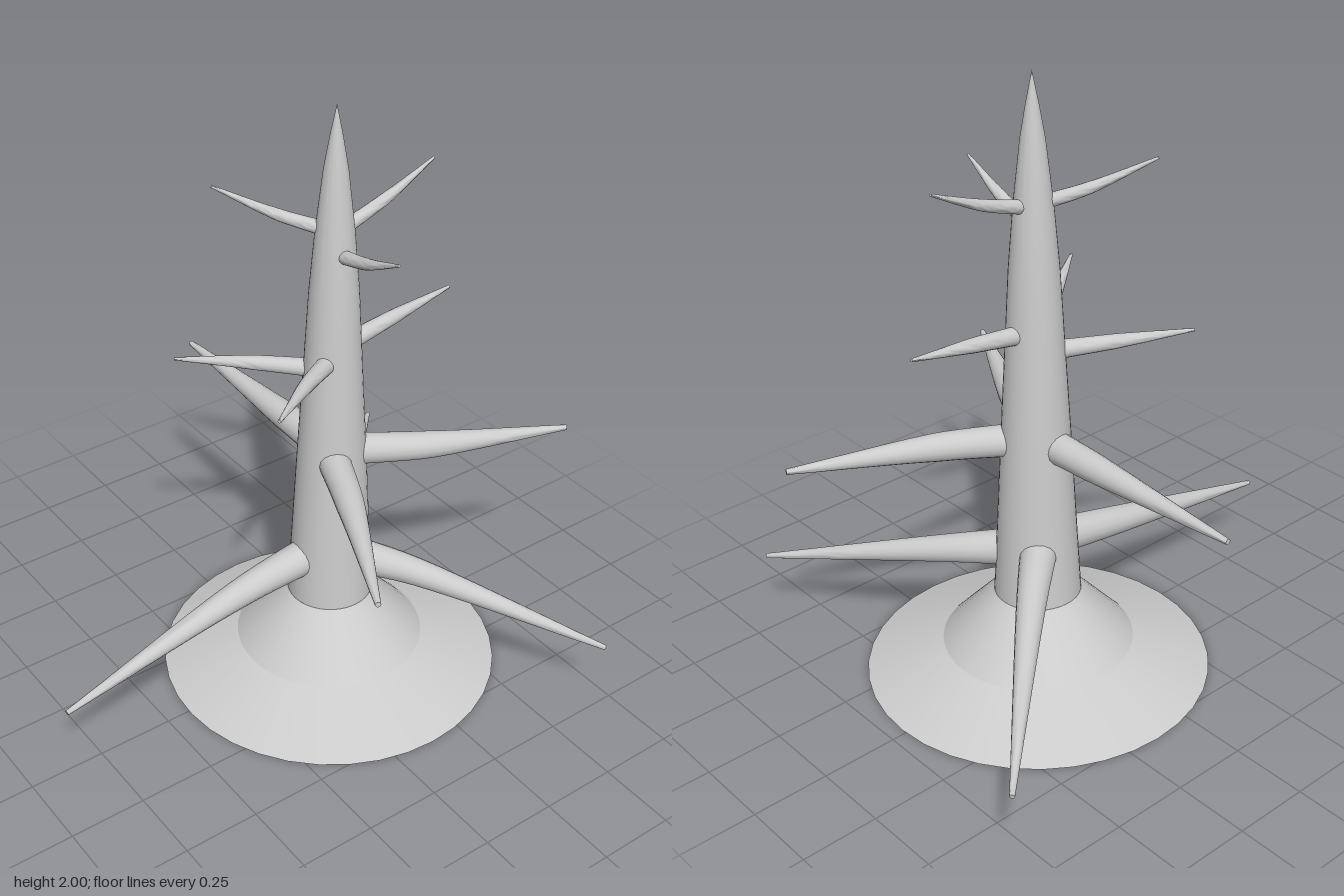
import * as THREE from 'three';
import { toCreasedNormals } from 'three/addons/utils/BufferGeometryUtils.js';

const material = new THREE.MeshStandardMaterial({ color: 0xcccccc });
const AXIS = { x: 0.14, z: 0.015 };

// Tapered, slightly bent limb through root, bend and tip, closed at the tip.
function limb(name, points, radii) {
  const [root, bend, tip] = points.map((p) => new THREE.Vector3(...p));
  const curve = new THREE.CatmullRomCurve3([root, bend, tip]);
  const rings = 16, sides = 16;
  const geo = new THREE.TubeGeometry(curve, rings, 1, sides, false);
  const pos = geo.attributes.position;
  const bendAt = root.distanceTo(bend) / (root.distanceTo(bend) + bend.distanceTo(tip));
  const v = new THREE.Vector3();
  for (let i = 0; i <= rings; i++) {
    const t = i / rings;
    const centre = curve.getPointAt(t);
    // the last two rings share the tip, and the final one shrinks to a point
    const at = i >= rings - 1 ? tip : centre;
    const u = t < bendAt ? t / bendAt : (t - bendAt) / (1 - bendAt);
    let r = t < bendAt
      ? THREE.MathUtils.lerp(radii[0], radii[1], u)
      : THREE.MathUtils.lerp(radii[1], radii[2], u);
    if (i === rings - 1) r = radii[2];
    if (i === rings) r = 0;
    for (let j = 0; j <= sides; j++) {
      const k = i * (sides + 1) + j;
      v.fromBufferAttribute(pos, k).sub(centre).multiplyScalar(r).add(at);
      pos.setXYZ(k, v.x, v.y, v.z);
    }
  }
  const mesh = new THREE.Mesh(toCreasedNormals(geo, 0.9), material);
  mesh.name = name;
  return mesh;
}

function lathe(name, profile) {
  const geo = new THREE.LatheGeometry(profile.map(([r, y]) => new THREE.Vector2(r, y)), 36);
  const mesh = new THREE.Mesh(toCreasedNormals(geo, 0.3), material);
  mesh.position.set(AXIS.x, 0, AXIS.z);
  mesh.name = name;
  return mesh;
}

export function createModel() {
  const group = new THREE.Group();
  group.name = 'bareTree';

  // Flared root mound and pointed trunk
  group.add(lathe('rootMound', [[0, 0], [0.56, 0], [0.31, 0.1], [0.14, 0.285], [0, 0.285]]));
  group.add(lathe('trunk', [
    [0.14, 0.28], [0.125, 0.55], [0.11, 0.83], [0.09, 1.17], [0.077, 1.4],
    [0.06, 1.6], [0.037, 1.8], [0.02, 1.9], [0, 2],
  ]));

  // Tiers of branches: [root, bend, tip]
  const tiers = [
    { name: 'lowerBranch', radii: [0.06, 0.047, 0.008], limbs: [
      [[0.07, 0.445, 0.01], [-0.2, 0.4, 0], [-0.87, 0.26, 0.025]],
      [[0.19, 0.425, 0.08], [0.31, 0.4, 0.23], [0.675, 0.265, 0.775]],
      [[0.18, 0.47, -0.04], [0.35, 0.435, -0.2], [0.86, 0.295, -0.705]],
    ] },
    { name: 'middleBranch', radii: [0.052, 0.045, 0.009], limbs: [
      [[0.19, 0.83, 0.05], [0.4, 0.83, 0.175], [0.825, 0.83, 0.36]],
      [[0.11, 0.83, 0.06], [0.01, 0.83, 0.28], [-0.215, 0.83, 0.705]],
      [[0.13, 0.83, -0.04], [0.13, 0.83, -0.25], [0.13, 0.83, -0.785]],
    ] },
    { name: 'upperBranch', radii: [0.03, 0.023, 0.005], limbs: [
      [[0.18, 1.2, 0.015], [0.38, 1.23, 0.01], [0.605, 1.26, 0.005]],
      [[0.1, 1.18, 0.045], [-0.06, 1.21, 0.15], [-0.26, 1.24, 0.295]],
      [[0.1, 1.13, -0.015], [-0.06, 1.15, -0.13], [-0.26, 1.17, -0.26]],
    ] },
    { name: 'topTwig', radii: [0.022, 0.018, 0.004], limbs: [
      [[0.17, 1.6, 0.015], [0.33, 1.65, 0.01], [0.515, 1.73, 0.005]],
      [[0.11, 1.61, -0.01], [0.01, 1.65, -0.09], [-0.14, 1.735, -0.21]],
      [[0.135, 1.535, 0.05], [0.12, 1.575, 0.19], [0.1, 1.65, 0.36]],
    ] },
  ];
  for (const tier of tiers) {
    tier.limbs.forEach((p, i) => group.add(limb(`${tier.name}${i + 1}`, p, tier.radii)));
  }
  return group;
}
